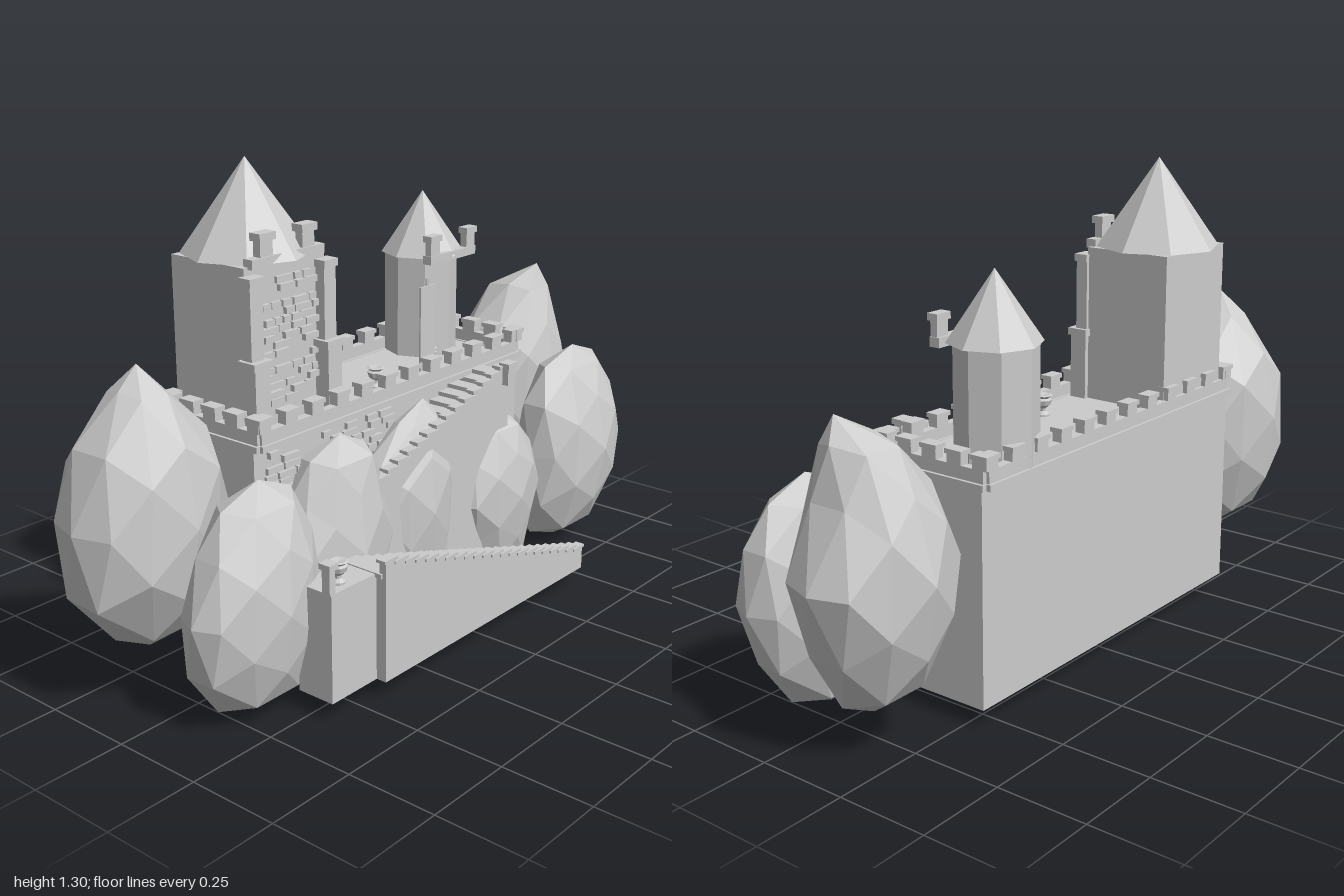
import * as THREE from 'three';

export function createModel() {
  const root = new THREE.Group();
  root.name = 'castle';
  const stone = new THREE.MeshStandardMaterial({ color: 0xcccccc });
  stone.name = 'pale grey stone';

  // seeded random
  let seed = 7;
  const rnd = () => {
    seed = (seed * 16807) % 2147483647;
    return seed / 2147483647;
  };

  const add = (name, geo, parent = root) => {
    const m = new THREE.Mesh(geo, stone);
    m.name = name;
    parent.add(m);
    return m;
  };
  // box given by its limits
  const box = (name, x0, x1, y0, y1, z0, z1, parent = root) => {
    const m = add(name, new THREE.BoxGeometry(x1 - x0, y1 - y0, z1 - z0), parent);
    m.position.set((x0 + x1) / 2, (y0 + y1) / 2, (z0 + z1) / 2);
    return m;
  };
  const group = (name) => {
    const g = new THREE.Group();
    g.name = name;
    root.add(g);
    return g;
  };
  const flat = (geo) => {
    const g = geo.index ? geo.toNonIndexed() : geo;
    g.computeVertexNormals();
    return g;
  };

  // main keep block
  box('keepBlock', -0.553, 0.56, 0.05, 0.63, -0.303, 0.02);

  // crenellated parapet between two points
  const parapet = (name, xa, za, xb, zb, n) => {
    const g = group(name);
    const len = Math.hypot(xb - xa, zb - za);
    g.position.set(xa, 0, za);
    g.rotation.y = -Math.atan2(zb - za, xb - xa);
    box('ledge', -0.015, len + 0.015, 0.615, 0.632, -0.02, 0.02, g);
    box('parapetWall', -0.01, len + 0.01, 0.632, 0.665, -0.012, 0.012, g);
    for (let i = 0; i < n; i++) {
      const c = (len * i) / (n - 1), w = 0.022;
      box('merlon', c - w, c + w, 0.665, 0.69, -0.014, 0.014, g);
      box('merlonCap', c - w - 0.004, c + w + 0.004, 0.69, 0.702, -0.018, 0.018, g);
    }
  };
  parapet('frontParapet', -0.53, 0.025, 0.53, 0.025, 12);
  parapet('backParapet', -0.53, -0.302, 0.535, -0.302, 12);
  parapet('leftParapet', 0.545, -0.295, 0.545, 0.02, 5);
  parapet('rightParapet', -0.537, -0.295, -0.537, 0.02, 5);

  // patches of raised bricks
  const bricks = (name, x0, x1, y0, y1, z, fill) => {
    const g = group(name);
    const h = 0.017;
    for (let y = y0; y + h < y1; y += h + 0.004) {
      let x = x0 + rnd() * 0.03;
      while (x < x1 - 0.02) {
        const w = Math.min(0.025 + rnd() * 0.035, x1 - x);
        if (rnd() < fill) box('brick', x, x + w, y, y + h, z - 0.004, z + 0.008 + rnd() * 0.006, g);
        x += w + 0.005;
      }
    }
  };
  bricks('keepBricks', -0.52, -0.02, 0.46, 0.61, 0.02, 0.6);
  bricks('towerBricks', -0.47, -0.25, 0.69, 1.04, -0.045, 0.75);

  // large tower
  const big = group('largeTower');
  box('towerBody', -0.505, -0.215, 0.63, 1.06, -0.303, -0.045, big);
  const cone = (name, r, h, x, y, z, parent) =>
    add(name, flat(new THREE.ConeGeometry(r, h, 8)), parent).position.set(x, y + h / 2, z);
  cone('towerRoof', 0.172, 0.243, -0.36, 1.06, -0.178, big);
  for (const s of [-1, 1]) {
    const c = -0.36 + s * 0.133;
    box('cornerPierBase', c - 0.026, c + 0.026, 0.63, 0.81, -0.05, 0, big);
    box('cornerPierLedge', c - 0.033, c + 0.033, 0.81, 0.83, -0.055, 0.005, big);
    box('cornerPier', c - 0.022, c + 0.022, 0.83, 1.02, -0.05, -0.015, big);
    box('cornerPierCap', c - 0.026, c + 0.026, 1.02, 1.04, -0.05, -0.01, big);
    const m = -0.36 + s * 0.075;
    box('towerMerlon', m - 0.022, m + 0.022, 1.08, 1.12, -0.058, -0.034, big);
    box('towerMerlonCap', m - 0.028, m + 0.028, 1.12, 1.14, -0.064, -0.028, big);
  }
  box('towerFrontLedge', -0.49, -0.23, 1.055, 1.08, -0.06, -0.03, big);

  // small tower
  const small = group('smallTower');
  add('towerBody', flat(new THREE.CylinderGeometry(0.107, 0.107, 0.31, 8)), small)
    .position.set(0.39, 0.775, -0.212);
  cone('towerRoof', 0.121, 0.18, 0.39, 0.93, -0.207, small);
  box('towerFrontLedge', 0.285, 0.495, 0.92, 0.945, -0.12, -0.09, small);
  for (const s of [-1, 1]) {
    const m = 0.39 + s * 0.083;
    box('towerMerlon', m - 0.02, m + 0.02, 0.945, 0.985, -0.113, -0.092, small);
    box('towerMerlonCap', m - 0.025, m + 0.025, 0.985, 1.003, -0.118, -0.087, small);
  }

  // flight of steps: solid risers, overhanging treads and a stepped outer wall
  const stairs = (name, x0, y0, x1, y1, n, zBack, zFront, rail) => {
    const g = group(name);
    const dx = (x1 - x0) / n, dy = (y1 - y0) / n;
    const s = new THREE.Shape();
    s.moveTo(x0, 0.05);
    for (let i = 0; i < n; i++) {
      const a = x0 + dx * i, b = a + dx;
      const lo = Math.min(a, b), hi = Math.max(a, b), top = y0 + dy * (i + 0.5);
      box('riser', lo, hi, 0.05, top - 0.008, zBack, zFront - 0.01, g);
      box('tread', lo - 0.006, hi + 0.006, top - 0.008, top + 0.004, zBack, zFront - 0.01, g);
      const capY = top + rail;
      s.lineTo(a, capY);
      s.lineTo(b, capY);
      box('wallCap', lo - 0.008, hi + 0.004, capY, capY + 0.008, zFront - 0.024, zFront + 0.004, g);
    }
    s.lineTo(x1, 0.05);
    add('outerWall', new THREE.ExtrudeGeometry(s, { depth: 0.02, bevelEnabled: false }), g)
      .position.z = zFront - 0.02;
  };
  stairs('lowerStairs', -0.44, 0.345, 0.45, 0.075, 22, 0.215, 0.35, 0.035);
  stairs('upperStairs', 0.355, 0.635, -0.22, 0.44, 14, 0.02, 0.14, 0.022);
  box('stairHeadPier', 0.325, 0.36, 0.6, 0.65, 0.135, 0.16);
  box('stairHeadPierCap', 0.32, 0.365, 0.65, 0.665, 0.13, 0.165);

  // landing at the head of the lower stairs
  box('landing', -0.605, -0.44, 0.05, 0.34, 0.21, 0.32);
  box('landingPier', -0.61, -0.59, 0.34, 0.405, 0.295, 0.32);
  box('landingPierCap', -0.616, -0.584, 0.405, 0.42, 0.29, 0.326);

  // urns
  const urnProfile = [[0, 0], [0.018, 0], [0.018, 0.006], [0.008, 0.014], [0.008, 0.022],
    [0.02, 0.032], [0.024, 0.046], [0.016, 0.05], [0.026, 0.058], [0.02, 0.06], [0, 0.056]]
    .map(([x, y]) => new THREE.Vector2(x, y));
  for (const [x, y, z] of [[-0.54, 0.34, 0.285], [0.005, 0.63, -0.06], [0.25, 0.63, -0.07]]) {
    const u = add('urn', flat(new THREE.LatheGeometry(urnProfile, 10)));
    u.position.set(x, y, z);
  }

  // banner on its pole
  box('banner', 0.123, 0.187, 0.66, 0.9, -0.002, 0.003);
  add('bannerPole', new THREE.CylinderGeometry(0.004, 0.004, 0.3, 6)).position.set(0.157, 0.77, -0.003);

  // faceted trees; rows from bottom to top hold [y, x min, x max, z min, z max]
  const tree = (name, rows) => {
    const geo = new THREE.IcosahedronGeometry(1, 1);
    const p = geo.attributes.position;
    const moved = new Map();
    const v = new THREE.Vector3();
    const bottom = rows[0][0], top = rows[rows.length - 1][0];
    for (let i = 0; i < p.count; i++) {
      v.fromBufferAttribute(p, i);
      const key = v.toArray().map((c) => Math.round(c * 100) + 0).join();
      if (!moved.has(key)) moved.set(key, Math.abs(v.y) < 0.01 ? 1 : 0.97 + rnd() * 0.07);
      const y = THREE.MathUtils.lerp(bottom, top, (v.y + 1) / 2);
      const k = Math.max(1, rows.findIndex((row) => row[0] >= y - 1e-5));
      const t = (y - rows[k - 1][0]) / (rows[k][0] - rows[k - 1][0]);
      const [, x0, x1, z0, z1] = rows[k].map((c, j) => THREE.MathUtils.lerp(rows[k - 1][j], c, t));
      const r = moved.get(key) / (Math.hypot(v.x, v.z) || 1);
      p.setXYZ(i, (x0 + x1) / 2 + (v.x * r * (x1 - x0)) / 2, y, (z0 + z1) / 2 + (v.z * r * (z1 - z0)) / 2);
    }
    geo.computeVertexNormals();
    add(name, geo);
  };
  tree('rightBackTree', [[0.12, -0.77, -0.77, -0.15, -0.15], [0.18, -0.89, -0.66, -0.26, -0.04],
    [0.3, -0.99, -0.57, -0.32, 0.03], [0.48, -1, -0.555, -0.345, 0.06], [0.65, -0.95, -0.58, -0.32, 0.03],
    [0.73, -0.92, -0.64, -0.28, 0], [0.865, -0.775, -0.775, -0.14, -0.14]]);
  tree('leftBackTree', [[0.09, 0.78, 0.78, -0.148, -0.148], [0.13, 0.68, 0.88, -0.24, -0.07],
    [0.24, 0.6, 0.94, -0.307, 0], [0.46, 0.56, 1, -0.355, 0.025], [0.62, 0.61, 0.93, -0.317, 0],
    [0.755, 0.7, 0.9, -0.24, -0.05], [0.83, 0.83, 0.83, -0.097, -0.097]]);
  tree('rightFrontTree', [[0, -0.65, -0.65, 0.12, 0.12], [0.03, -0.79, -0.54, 0.05, 0.2],
    [0.15, -0.87, -0.49, 0.01, 0.25], [0.33, -0.885, -0.475, 0, 0.265], [0.5, -0.79, -0.49, 0.02, 0.22],
    [0.55, -0.76, -0.53, 0.05, 0.18], [0.59, -0.63, -0.63, 0.11, 0.11]]);
  tree('leftFrontTree', [[0.01, 0.69, 0.69, 0.09, 0.09], [0.05, 0.56, 0.82, 0, 0.18],
    [0.2, 0.51, 0.92, -0.03, 0.24], [0.36, 0.52, 0.945, -0.03, 0.25], [0.5, 0.54, 0.92, 0, 0.2],
    [0.58, 0.6, 0.86, 0.04, 0.16], [0.625, 0.73, 0.73, 0.11, 0.11]]);
  tree('frontBushRight', [[0.02, -0.33, -0.33, 0.08, 0.08], [0.06, -0.46, -0.2, 0, 0.15],
    [0.3, -0.53, -0.13, -0.02, 0.195], [0.55, -0.44, -0.18, 0, 0.15], [0.605, -0.29, -0.29, 0.07, 0.07]]);
  tree('frontBushMiddle', [[0.025, 0.02, 0.02, 0.08, 0.08], [0.07, -0.12, 0.13, 0, 0.14],
    [0.35, -0.2, 0.16, -0.02, 0.175], [0.52, -0.17, 0.16, 0, 0.14], [0.615, 0.05, 0.05, 0.07, 0.07]]);
  tree('frontBushLeft', [[0.015, 0.38, 0.38, 0.1, 0.1], [0.06, 0.25, 0.48, 0.03, 0.17],
    [0.27, 0.165, 0.53, 0, 0.205], [0.45, 0.23, 0.48, 0.03, 0.17], [0.51, 0.34, 0.34, 0.1, 0.1]]);

  return root;
}
